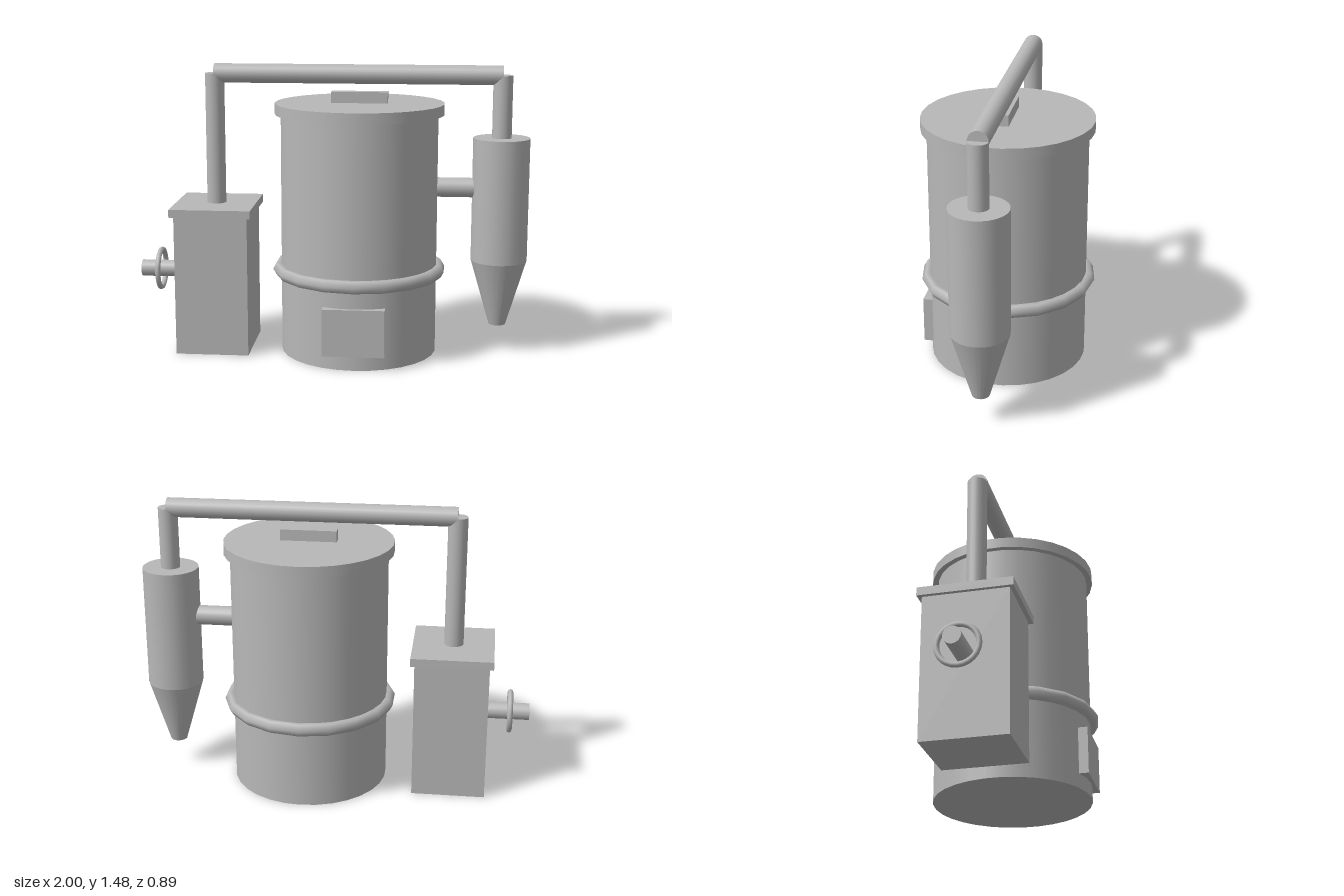
import * as THREE from 'three';

export function createModel() {
  const root = new THREE.Group();
  const gray = new THREE.MeshStandardMaterial({ color: 0xb8b8b8 });
  gray.name = 'gray metal';

  const add = (name, geometry, x, y, z) => {
    const mesh = new THREE.Mesh(geometry, gray);
    mesh.name = name;
    mesh.position.set(x, y, z);
    root.add(mesh);
    return mesh;
  };
  const box = (name, w, h, d, x, y, z) => add(name, new THREE.BoxGeometry(w, h, d), x, y, z);
  // Upright round part from y0 to y1
  const upright = (name, rTop, rBottom, y0, y1, x, sides) =>
    add(name, new THREE.CylinderGeometry(rTop, rBottom, y1 - y0, sides), x, (y0 + y1) / 2, 0);
  // Round bar along x from x0 to x1
  const bar = (name, r, x0, x1, y) =>
    add(name, new THREE.CylinderGeometry(r, r, x1 - x0, 20).rotateZ(Math.PI / 2), (x0 + x1) / 2, y, 0);

  const tankX = 0.14, boxX = -0.6, cycloneX = 0.857, pipeR = 0.049, pipeY = 1.429;

  // Main tank with lid, handle, band and hatch
  upright('tankBody', 0.4, 0.4, 0, 1.23, tankX, 30);
  upright('tankLid', 0.43, 0.43, 1.23, 1.285, tankX, 30);
  box('lidHandle', 0.285, 0.057, 0.057, tankX, 1.313, 0);
  const band = new THREE.TorusGeometry(0.41, 0.035, 6, 18).rotateX(Math.PI / 2).rotateY(Math.PI / 2);
  add('tankBand', band, tankX, 0.43, 0);
  box('hatch', 0.31, 0.24, 0.05, tankX, 0.195, 0.391);

  // Side box with its cover
  box('sideBox', 0.374, 0.72, 0.42, boxX, 0.36, 0);
  box('sideBoxCover', 0.414, 0.042, 0.462, boxX, 0.74, 0);

  // Stub pipe and valve wheel
  bar('valveStub', 0.043, -1, -0.75, 0.4);
  add('valveWheel', new THREE.TorusGeometry(0.099, 0.014, 8, 24).rotateY(Math.PI / 2), -0.9, 0.4, 0);

  // Cyclone and its inlet from the tank
  upright('cycloneBody', 0.143, 0.143, 0.485, 1.115, cycloneX, 24);
  upright('cycloneCone', 0.143, 0.043, 0.145, 0.485, cycloneX, 24);
  bar('cycloneInlet', 0.05, 0.5, 0.75, 0.858);

  // Overhead pipe run
  upright('boxRiser', pipeR, pipeR, 0.75, pipeY, boxX, 20);
  upright('cycloneRiser', pipeR, pipeR, 1.1, pipeY, cycloneX, 20);
  bar('overheadPipe', pipeR, boxX, cycloneX, pipeY);

  return root;
}
